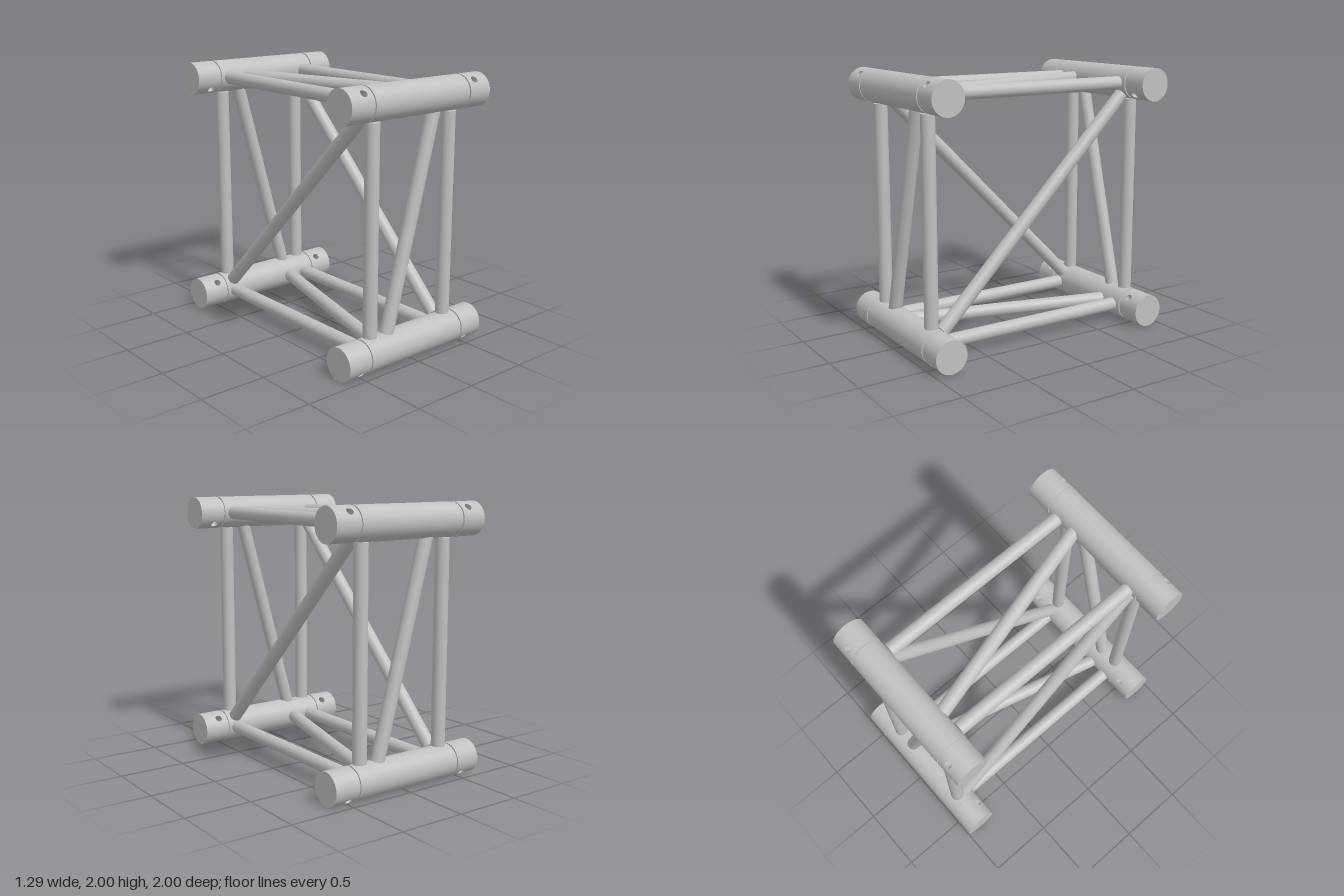
import * as THREE from 'three';

const R = 0.123;        // chord radius
const C = 0.877;        // chord offset from the truss centre
const END = 0.645;      // half chord length
const MAIN = 0.438;     // half length of the middle section
const SLEEVE = 0.45;    // inner end of the coupling sleeves
const HOLE_X = 0.517, HOLE_R = 0.027;
const PATCH = 0.4;      // half angle of the drilled patch on a sleeve
const BAR = 0.051;      // brace radius

const metal = new THREE.MeshStandardMaterial({ color: 0xc0c0c0, side: THREE.DoubleSide });
metal.name = 'lightGreyMetal';

function add(parent, geometry, name) {
  const mesh = new THREE.Mesh(geometry, metal);
  mesh.name = name;
  parent.add(mesh);
  return mesh;
}

// Cylinder lying along x between two positions
function xCylinder(radius, x0, x1, open = false, start = 0, sweep = Math.PI * 2) {
  const g = new THREE.CylinderGeometry(radius, radius, x1 - x0, 64, 1, open, start, sweep);
  return g.rotateZ(-Math.PI / 2).translate((x0 + x1) / 2, 0, 0);
}

// Curved patch with a round hole: a ring blended from circle to rectangle, wrapped on the tube
function drilledPatch() {
  const g = new THREE.RingGeometry(1, 2, 48, 4);
  const p = g.attributes.position, n = g.attributes.normal;
  for (let i = 0; i < p.count; i++) {
    const r = Math.hypot(p.getX(i), p.getY(i));
    const c = p.getX(i) / r, s = p.getY(i) / r, t = r - 1;
    const m = 1 / Math.max(Math.abs(c), Math.abs(s));
    const outerX = m * c * (c > 0 ? END - HOLE_X : HOLE_X - SLEEVE);
    const x = HOLE_X + THREE.MathUtils.lerp(HOLE_R * c, outerX, t);
    const a = THREE.MathUtils.lerp(Math.asin(HOLE_R * s / R), m * s * PATCH, t);
    p.setXYZ(i, x, R * Math.cos(a), -R * Math.sin(a));
    n.setXYZ(i, 0, Math.cos(a), -Math.sin(a));
  }
  return g;
}

// Wall of the pin hole, its rims following the tube surface
function holeWall() {
  const g = new THREE.CylinderGeometry(HOLE_R, HOLE_R, 1, 48, 1, true);
  const p = g.attributes.position;
  for (let i = 0; i < p.count; i++) {
    p.setY(i, Math.sign(p.getY(i)) * Math.sqrt(R * R - p.getZ(i) ** 2));
  }
  return g.translate(HOLE_X, 0, 0);
}

// Coupling sleeve at the +x end of a chord
function createSleeve() {
  const sleeve = new THREE.Group();
  sleeve.name = 'couplingSleeve';
  for (const k of [1, 3]) {
    const start = k * Math.PI / 2 + PATCH;
    add(sleeve, xCylinder(R, SLEEVE, END, true, start, Math.PI - 2 * PATCH), 'sleeveWall');
    add(sleeve, drilledPatch().rotateX(k === 1 ? 0 : Math.PI), 'drilledSleeveWall');
  }
  add(sleeve, holeWall(), 'pinHole');
  const cap = new THREE.CircleGeometry(R, 64).rotateY(Math.PI / 2);
  add(sleeve, cap.translate(END, 0, 0), 'endCap');
  const shoulder = new THREE.RingGeometry(0.112, R, 64).rotateY(-Math.PI / 2);
  add(sleeve, shoulder.translate(SLEEVE, 0, 0), 'grooveShoulder');
  add(sleeve, xCylinder(0.113, MAIN - 0.01, SLEEVE + 0.01), 'grooveNeck');
  return sleeve;
}

function createChord() {
  const chord = new THREE.Group();
  add(chord, xCylinder(R, -MAIN, MAIN), 'mainTube');
  for (const turn of [0, Math.PI]) {
    const sleeve = createSleeve();
    sleeve.rotation.y = turn;
    chord.add(sleeve);
  }
  return chord;
}

// Round bar between two points
function addBar(parent, a, b, name) {
  const from = new THREE.Vector3(...a), to = new THREE.Vector3(...b);
  const dir = to.clone().sub(from);
  const bar = add(parent, new THREE.CylinderGeometry(BAR, BAR, dir.length(), 32), name);
  bar.position.copy(from).add(to).multiplyScalar(0.5);
  bar.quaternion.setFromUnitVectors(new THREE.Vector3(0, 1, 0), dir.normalize());
}

export function createModel() {
  const model = new THREE.Group();
  model.name = 'boxTruss';
  const frame = new THREE.Group();
  frame.name = 'frame';
  frame.position.y = 1;
  model.add(frame);

  // Four chords, pin holes aimed along the square's diagonals
  for (const sy of [-1, 1]) for (const sz of [-1, 1]) {
    const chord = createChord();
    chord.name = (sy > 0 ? 'top' : 'bottom') + (sz > 0 ? 'Front' : 'Back') + 'Chord';
    chord.position.set(0, sy * C, sz * C);
    chord.rotation.x = sy * sz * Math.PI / 4;
    frame.add(chord);
  }

  const L = 0.753;           // reach of the straight braces
  const D = 0.79;            // reach of the diagonals
  const S = 0.2 * D / 0.75;  // sideways shift of the face diagonals
  for (const s of [-1, 1]) {
    // Square frames of straight braces
    for (const x of [-0.36, 0.36]) {
      addBar(frame, [x, -L, s * C], [x, L, s * C], 'uprightBrace');
      addBar(frame, [x, s * C, -L], [x, s * C, L], 'crossBrace');
    }
    // One diagonal on each face
    addBar(frame, [-s * S, -D, s * C], [s * S, D, s * C], s > 0 ? 'frontDiagonal' : 'backDiagonal');
    addBar(frame, [-s * S, s * C, -D], [s * S, s * C, D], s > 0 ? 'topDiagonal' : 'bottomDiagonal');
    // Diagonal across each square frame
    addBar(frame, [s * 0.36, -D, s * D], [s * 0.36, D, -s * D], s > 0 ? 'leftDiagonal' : 'rightDiagonal');
  }
  return model;
}
